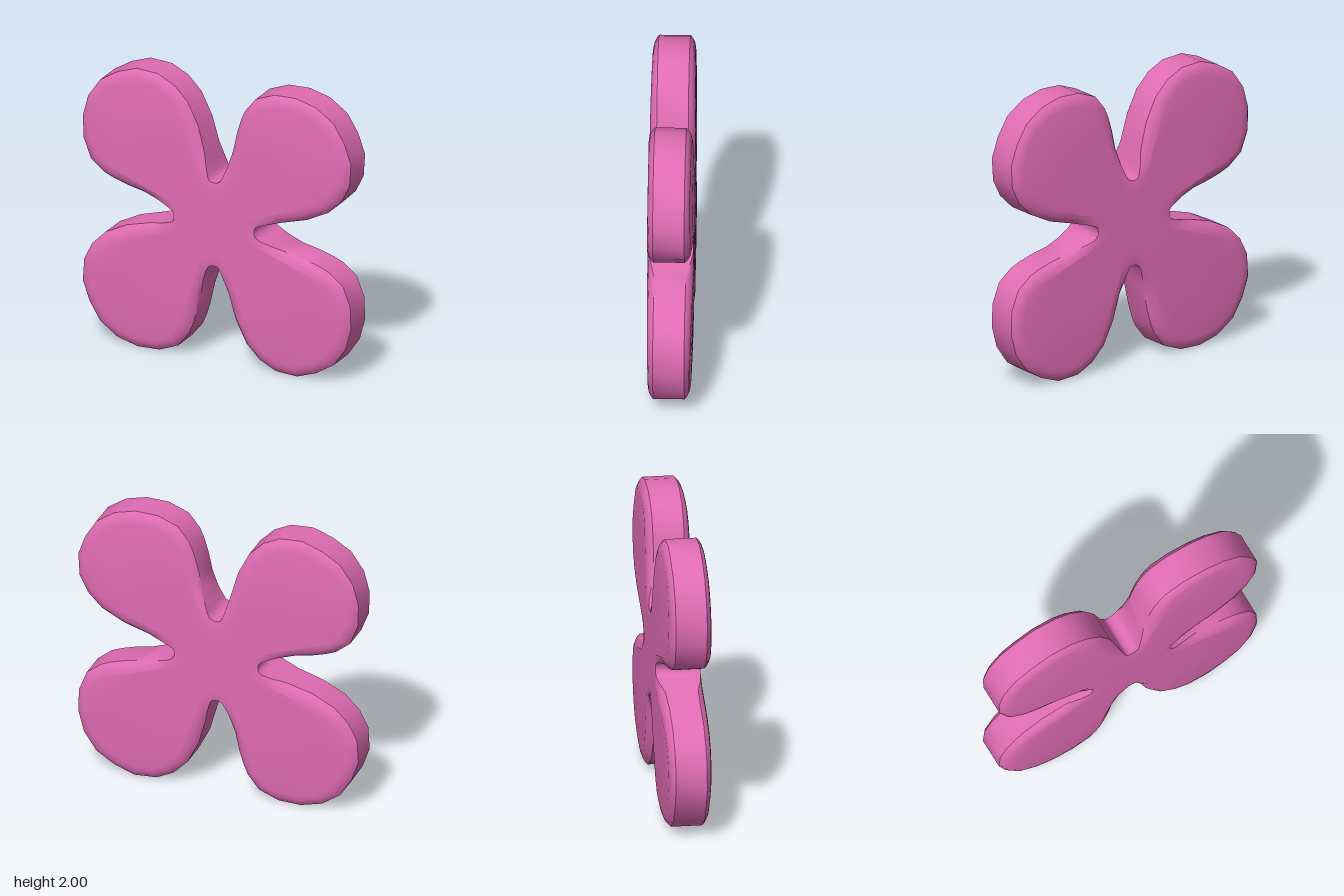
import * as THREE from 'three';
import { toCreasedNormals } from 'three/addons/utils/BufferGeometryUtils.js';

// One petal's outline, clockwise from the top notch to the side notch
const PETAL = [
  [0.02, 0.3], [0.045, 0.316], [0.062, 0.345], [0.09, 0.42], [0.122, 0.54], [0.15, 0.67],
  [0.18, 0.77], [0.21, 0.84], [0.29, 0.94], [0.43, 0.995], [0.59, 1.0], [0.74, 0.96],
  [0.87, 0.87], [0.95, 0.74], [1.0, 0.6], [0.99, 0.44], [0.93, 0.32], [0.83, 0.22],
  [0.67, 0.14], [0.49, 0.09], [0.39, 0.064], [0.33, 0.045], [0.308, 0.032], [0.3, 0.015],
];

// Repeat the petal by quarter turns
function outline() {
  const points = [];
  for (let q = 0; q < 4; q++) {
    for (const [x, y] of PETAL) {
      points.push([[x, y], [y, -x], [-x, -y], [-y, x]][q]);
    }
  }
  return points;
}

const domeZ = (r) => 0.157 - 0.012 * r * r;
// The rim is thin on the petals and full thickness in the notches
const rimZ = (r) => THREE.MathUtils.lerp(0.15, 0.105, THREE.MathUtils.smoothstep(r, 0.32, 0.55));

// Each ring: inset from the outline, rise from rim to dome, scale to the centre
const RINGS = [
  [0.08, 1, 0.3], [0.08, 1, 0.65], [0.08, 1, 1],
  [0.045, 0.82, 1], [0.02, 0.5, 1], [0, 0, 1],
];

function petalBodyGeometry() {
  const base = outline();
  const n = base.length;
  const positions = [];
  const index = [];

  const addRing = ([inset, rise, scale], side) => {
    base.forEach(([x, y], i) => {
      const a = base[(i + n - 1) % n];
      const b = base[(i + 1) % n];
      const tx = b[0] - a[0];
      const ty = b[1] - a[1];
      const len = Math.hypot(tx, ty);
      const px = (x + (ty / len) * inset) * scale;
      const py = (y - (tx / len) * inset) * scale;
      const z = THREE.MathUtils.lerp(rimZ(Math.hypot(x, y)), domeZ(Math.hypot(px, py)), rise);
      positions.push(px, py, z * side);
    });
  };

  // Front rings outward, then back rings inward
  RINGS.forEach((ring) => addRing(ring, 1));
  [...RINGS].reverse().forEach((ring) => addRing(ring, -1));
  const rows = RINGS.length * 2;
  const front = rows * n;
  const back = front + 1;
  positions.push(0, 0, domeZ(0), 0, 0, -domeZ(0));

  for (let i = 0; i < n; i++) {
    const j = (i + 1) % n;
    for (let r = 0; r < rows - 1; r++) {
      const a = r * n;
      const b = a + n;
      index.push(a + i, a + j, b + j, a + i, b + j, b + i);
    }
    const last = (rows - 1) * n;
    index.push(front, j, i, back, last + i, last + j);
  }

  const geometry = new THREE.BufferGeometry();
  geometry.setAttribute('position', new THREE.Float32BufferAttribute(positions, 3));
  geometry.setIndex(index);
  return toCreasedNormals(geometry, 0.7);
}

export function createModel() {
  const group = new THREE.Group();
  group.name = 'fourPetalFlower';
  const pink = new THREE.MeshStandardMaterial({ color: 0xe06cb4 });
  pink.name = 'pink';

  const petals = new THREE.Mesh(petalBodyGeometry(), pink);
  petals.name = 'petals';
  petals.position.y = 1;
  group.add(petals);
  return group;
}
